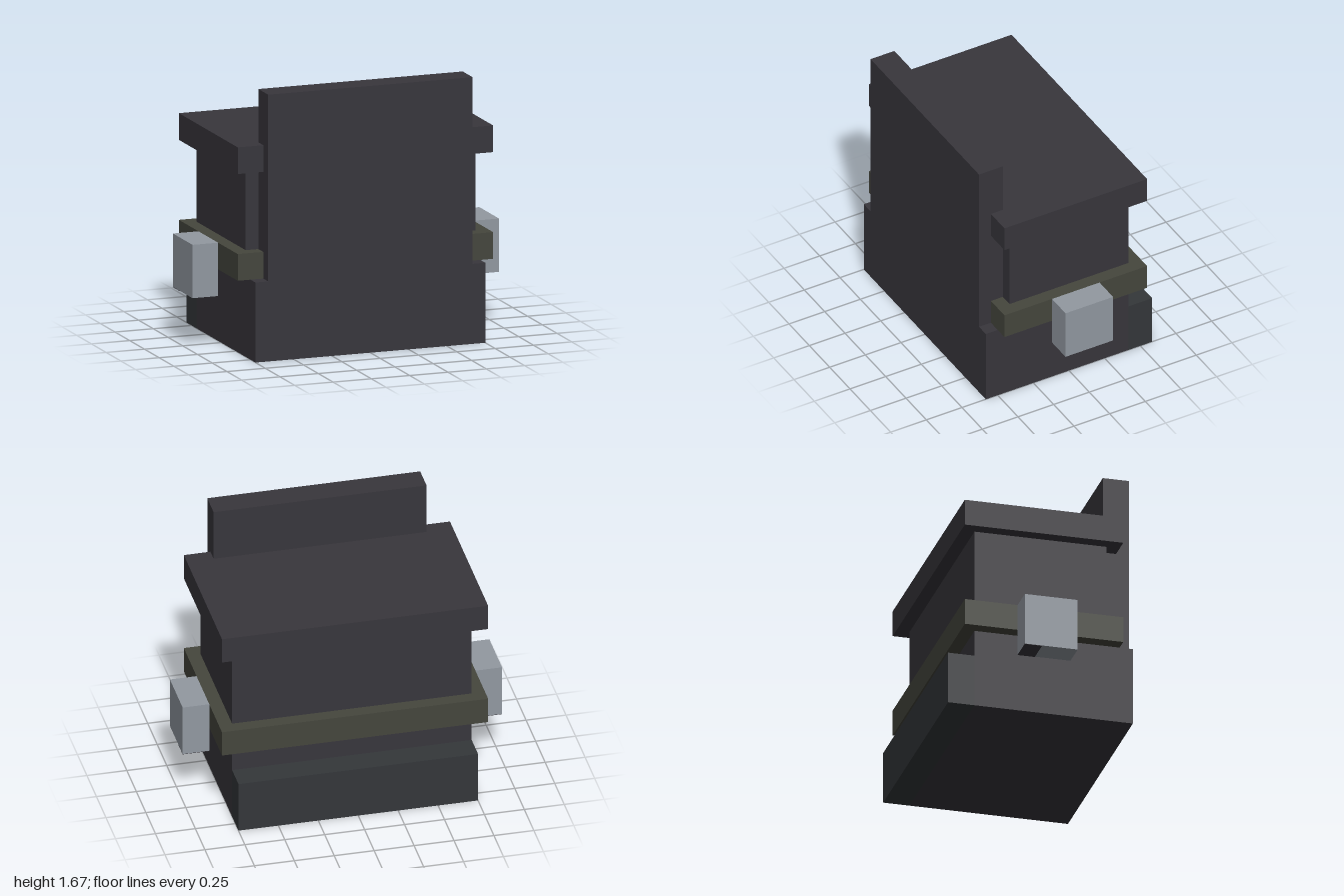
import * as THREE from 'three';

export function createModel() {
  const group = new THREE.Group();
  const mat = (name, color) => {
    const m = new THREE.MeshStandardMaterial({ color });
    m.name = name;
    return m;
  };
  const charcoal = mat('charcoal', 0x38363c);
  const slate = mat('slate', 0x34373a);
  const olive = mat('olive', 0x45463d);
  const steel = mat('steel', 0x9299a1);

  // Dimensions are in modelling units, twelve of which make one world unit
  const U = 1 / 12;
  const box = (name, material, [x0, x1], [y0, y1], [z0, z1]) => {
    const mesh = new THREE.Mesh(
      new THREE.BoxGeometry((x1 - x0) * U, (y1 - y0) * U, (z1 - z0) * U), material);
    mesh.position.set((x0 + x1) / 2 * U, (y0 + y1) / 2 * U, (z0 + z1) / 2 * U);
    mesh.name = name;
    group.add(mesh);
  };

  // Stepped base and main body
  box('base', charcoal, [-9, 9], [0, 6], [-5, 7]);
  box('backLedge', slate, [-9, 9], [0, 4], [-7, -5]);
  box('body', charcoal, [-9, 9], [6, 14], [-5, 5]);

  // Tall front panel
  box('frontPanel', charcoal, [-8, 8], [6, 20], [5, 7]);

  // Overhanging lid and belt
  box('lid', charcoal, [-10, 10], [14, 16], [-6, 6]);
  box('belt', olive, [-10, 10], [6, 8], [-6, 6]);

  // Side blocks with a dark patch underneath
  for (const [side, s] of [['left', 1], ['right', -1]]) {
    const span = s > 0 ? [10, 12] : [-12, -10];
    box(side + 'Block', steel, span, [4, 8], [-2, 2]);
    box(side + 'BlockPatch', charcoal, span, [3.97, 4], [-2, -0.7]);
  }
  return group;
}
